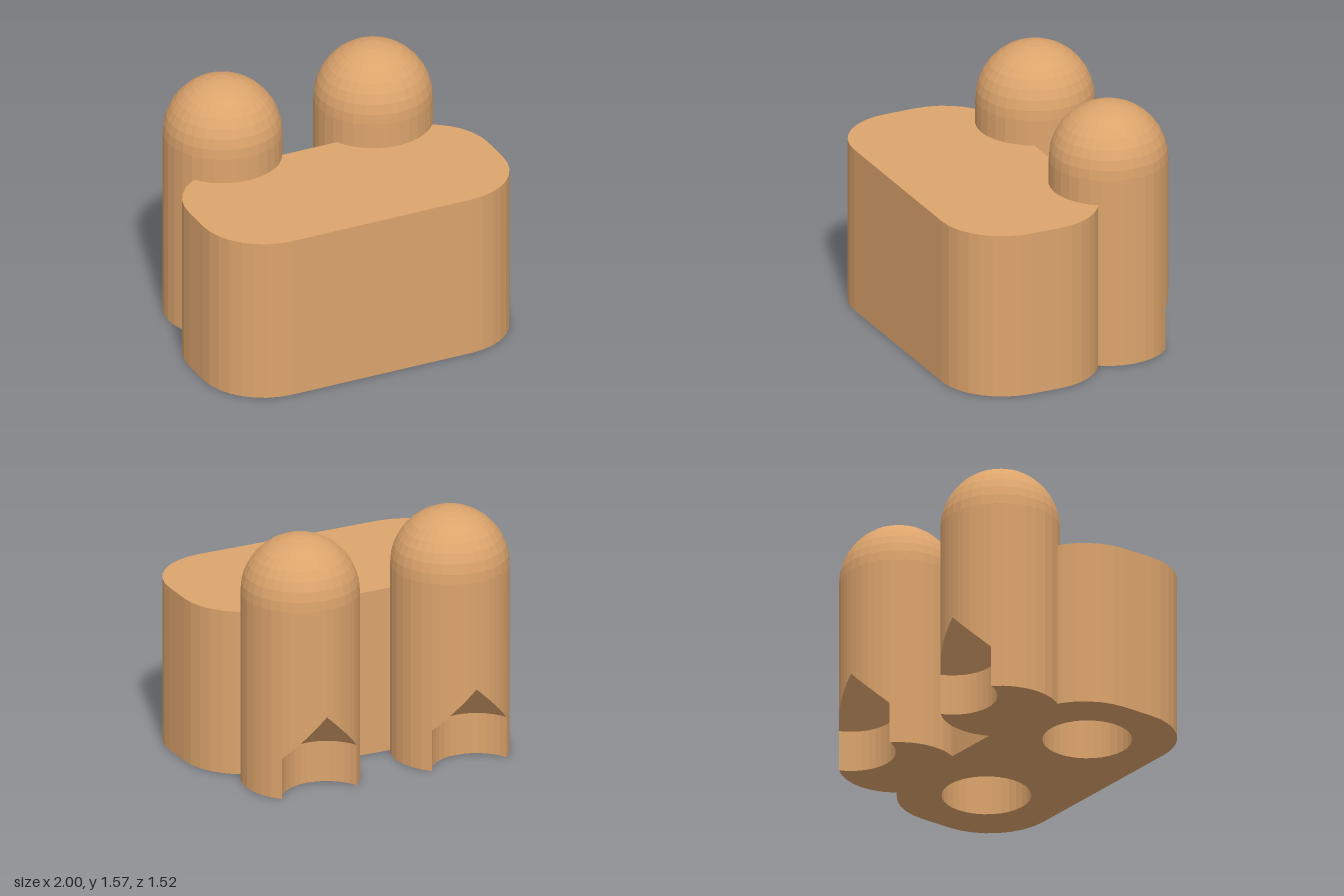
import * as THREE from 'three';

const R = 0.36;          // post radius
const POST_TOP = 1.21;
const HOLE_R = 0.27;     // bored holes: straight wall, then a pointed end
const HOLE_H = 0.26;
const APEX = 0.52;
const BODY_TOP = 1.05;

const tan = new THREE.MeshStandardMaterial({ color: 0xdca46c, side: THREE.DoubleSide });
tan.name = 'tan';

const range = (n, from, to, fn) =>
  Array.from({ length: n + 1 }, (_, i) => fn(from + (to - from) * i / n));
const atHeight = (ring, y) => ring.map(([x, z]) => new THREE.Vector3(x, y, z));

function add(group, name, geometry) {
  const flat = geometry.index ? geometry.toNonIndexed() : geometry;
  flat.computeVertexNormals();
  const mesh = new THREE.Mesh(flat, tan);
  mesh.name = name;
  group.add(mesh);
  return mesh;
}

// Faceted wall between a lower and an upper row of points
function strip(lower, upper) {
  const tris = [];
  const tri = (a, b, c) => {
    if (new THREE.Triangle(a, b, c).getArea() > 1e-7) tris.push(a, b, c);
  };
  for (let i = 0; i < lower.length - 1; i++) {
    tri(lower[i], lower[i + 1], upper[i + 1]);
    tri(lower[i], upper[i + 1], upper[i]);
  }
  return new THREE.BufferGeometry().setFromPoints(tris);
}

// Flat face over a ring of [x, z] points, facing up or down
function cap(ring, y, up, holes = []) {
  const s = up ? -1 : 1;
  const points = r => r.map(([x, z]) => new THREE.Vector2(x, s * z));
  const shape = new THREE.Shape(points(ring));
  holes.forEach(h => shape.holes.push(new THREE.Path(points(h))));
  return new THREE.ShapeGeometry(shape).rotateX(s * Math.PI / 2).translate(0, y, 0);
}

const holeRing = (cx, cz, from, to, n) =>
  range(n, from, to, a => [cx + HOLE_R * Math.sin(a), cz + HOLE_R * Math.cos(a)]);

function createBody() {
  const body = new THREE.Group();
  body.name = 'body';
  // Rounded rectangle, counter-clockwise from above
  const r = 0.4, cz = 0.26, outline = [];
  [[1, -1], [-1, -1], [-1, 1], [1, 1]].forEach(([sx, sz], q) => {
    outline.push(...range(8, q * Math.PI / 2, (q + 1) * Math.PI / 2, a =>
      [sx * (1 - r) + r * Math.cos(a), cz + sz * (0.5 - r) - r * Math.sin(a)]));
  });
  const closed = [...outline, outline[0]];
  const holes = [-0.5, 0.5].map(x => holeRing(x, cz, Math.PI, -Math.PI, 32));

  add(body, 'bodyWall', strip(atHeight(closed, 0), atHeight(closed, BODY_TOP)));
  add(body, 'bodyTop', cap(outline, BODY_TOP, true));
  add(body, 'bodyBottom', cap(outline, 0, false, holes.map(h => h.slice(0, -1))));
  holes.forEach((ring, i) => {
    const rim = atHeight(ring, HOLE_H);
    const tip = new THREE.Vector3(i ? 0.5 : -0.5, APEX, cz);
    add(body, 'holeWall', strip(atHeight(ring, 0), rim));
    add(body, 'holeTip', strip(rim, rim.map(() => tip)));
  });
  return body;
}

function createPost() {
  const post = new THREE.Group();
  post.name = 'post';
  // The notch is a bored hole centred on the back of the post
  const half = 2 * Math.asin(HOLE_R / (2 * R));
  const notchHalf = Math.PI / 2 - half / 2;
  const onPost = a => [R * Math.sin(a), -R * Math.cos(a)];
  // Edge where the pointed end of the notch breaks through the post
  const edge = a => {
    const [x, z] = onPost(a);
    const d = 2 * R * Math.sin(Math.abs(a) / 2);
    return new THREE.Vector3(x, APEX - (APEX - HOLE_H) * d / HOLE_R, z);
  };
  const outer = range(24, -half, half - 2 * Math.PI, onPost);
  const notch = holeRing(0, -R, notchHalf, -notchHalf, 14);
  const tip = new THREE.Vector3(0, APEX, -R);

  add(post, 'postWall', strip(atHeight(outer, 0), atHeight(outer, POST_TOP)));
  add(post, 'postBack', strip(range(12, half, -half, edge),
    atHeight(range(12, half, -half, onPost), POST_TOP)));
  add(post, 'postBottom', cap([...outer, ...notch.slice(1, -1)], 0, false));
  add(post, 'notchWall', strip(atHeight(notch, 0), atHeight(notch, HOLE_H)));
  const rim = [...range(6, 0, half, edge), ...atHeight(notch, HOLE_H).slice(1, -1),
    ...range(6, -half, 0, edge)];
  add(post, 'notchTip', strip(rim, rim.map(() => tip)));
  add(post, 'dome', new THREE.SphereGeometry(R, 32, 9, 0, Math.PI * 2, 0, Math.PI / 2))
    .position.y = POST_TOP;
  return post;
}

export function createModel() {
  const model = new THREE.Group();
  model.name = 'twinPostBlock';
  model.add(createBody());
  for (const side of [-1, 1]) {
    const post = createPost();
    post.name = side > 0 ? 'leftPost' : 'rightPost';
    post.position.set(side * 0.503, 0, -0.4);
    model.add(post);
  }
  return model;
}
